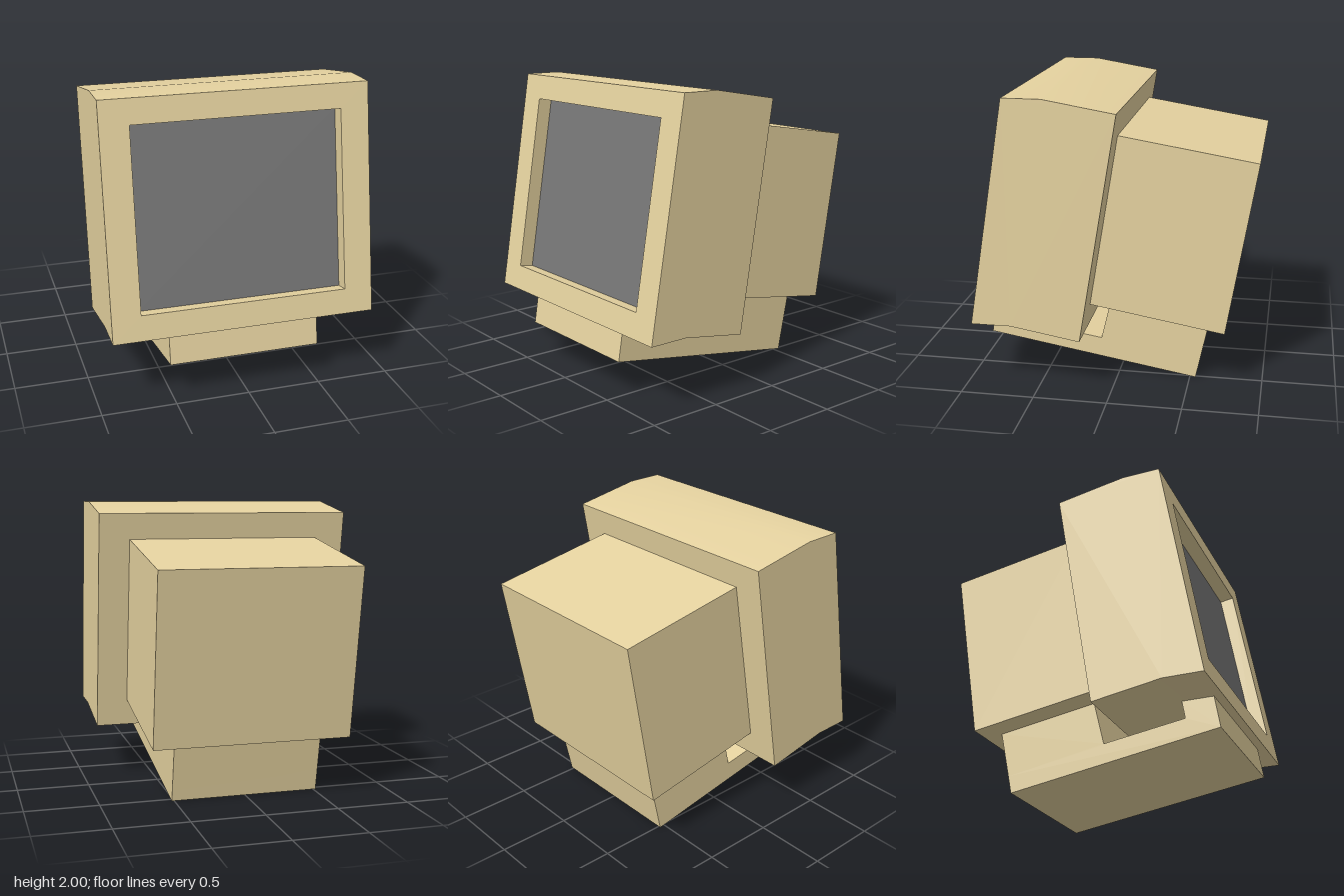
import * as THREE from 'three';
import { toCreasedNormals } from 'three/addons/utils/BufferGeometryUtils.js';

const beige = new THREE.MeshStandardMaterial({ color: 0xe6d3a0 });
const screenGrey = new THREE.MeshStandardMaterial({ color: 0x777777 });

const shapeOf = (pts) => new THREE.Shape(pts.map(([a, b]) => new THREE.Vector2(a, b)));

// Extrudes a side profile of [z, y] points symmetrically across x
function sideExtrude(profile, width) {
  return new THREE.ExtrudeGeometry(shapeOf(profile), { depth: width, bevelEnabled: false })
    .rotateY(-Math.PI / 2)
    .translate(width / 2, 0, 0);
}

// Drops the triangles that face forward, leaving room for a recessed front
function openFront(geometry) {
  const p = geometry.attributes.position;
  const tri = new THREE.Triangle();
  const n = new THREE.Vector3();
  const kept = [];
  for (let i = 0; i < p.count; i += 3) {
    tri.setFromAttributeAndIndices(p, i, i + 1, i + 2);
    if (tri.getNormal(n).z > 0.9) continue;
    for (const v of [tri.a, tri.b, tri.c]) kept.push(v.x, v.y, v.z);
  }
  const open = new THREE.BufferGeometry();
  open.setAttribute('position', new THREE.Float32BufferAttribute(kept, 3));
  return open;
}

export function createModel() {
  const model = new THREE.Group();
  model.name = 'monitor';
  const add = (parent, name, geometry, material = beige) => {
    const mesh = new THREE.Mesh(geometry, material);
    mesh.name = name;
    parent.add(mesh);
    return mesh;
  };

  // Main housing, leaning back, with softly bent top and bottom
  const housing = sideExtrude([
    [0.94, 0.46], [0.68, 2], [0.42, 2], [-0.055, 1.92], [0.2, 0.38], [0.67, 0.46],
  ], 1.8);
  add(model, 'housing', toCreasedNormals(openFront(housing), 0.3));

  // Rear tube casing
  add(model, 'rearCasing', sideExtrude([
    [-0.022, 1.74], [-0.94, 1.59], [-0.745, 0.41], [0.17, 0.565],
  ], 1.37));

  // Stand with a slot between its front lip and rear block
  add(model, 'stand', toCreasedNormals(sideExtrude([
    [0.915, 0.245], [0.88, 0.46], [0.665, 0.46], [0.685, 0.34], [0.125, 0.25],
    [0.055, 0.545], [-0.63, 0.43], [-0.565, 0.12], [-0.54, 0],
  ], 1.034), 0.3));

  // Front face: bezel with recessed screen, built upright and then tilted
  const front = new THREE.Group();
  front.name = 'front';
  front.position.set(0, 0.46, 0.94);
  front.rotation.x = -Math.atan2(0.26, 1.54);
  model.add(front);

  const H = Math.hypot(0.26, 1.54), W = 0.9, w = 0.705, y0 = 0.172, y1 = 1.394, depth = 0.1;
  const rect = (x, a, b) => [[-x, a], [x, a], [x, b], [-x, b]];
  const frame = shapeOf(rect(W, 0, H));
  frame.holes.push(shapeOf(rect(w, y0, y1)));
  const bezel = new THREE.ExtrudeGeometry(frame, { depth, bevelEnabled: false }).translate(0, 0, -depth);
  // Draw in the outer rear edge so it stays inside the housing
  const p = bezel.attributes.position;
  for (let i = 0; i < p.count; i++) {
    if (p.getZ(i) > -depth / 2 || Math.abs(p.getX(i)) < 0.8) continue;
    p.setX(i, p.getX(i) * 0.95);
    p.setY(i, H / 2 + (p.getY(i) - H / 2) * 0.94);
  }
  bezel.computeVertexNormals();
  add(front, 'bezel', bezel);

  add(front, 'screen', new THREE.PlaneGeometry(2 * w, y1 - y0), screenGrey)
    .position.set(0, (y0 + y1) / 2, -depth);

  return model;
}
